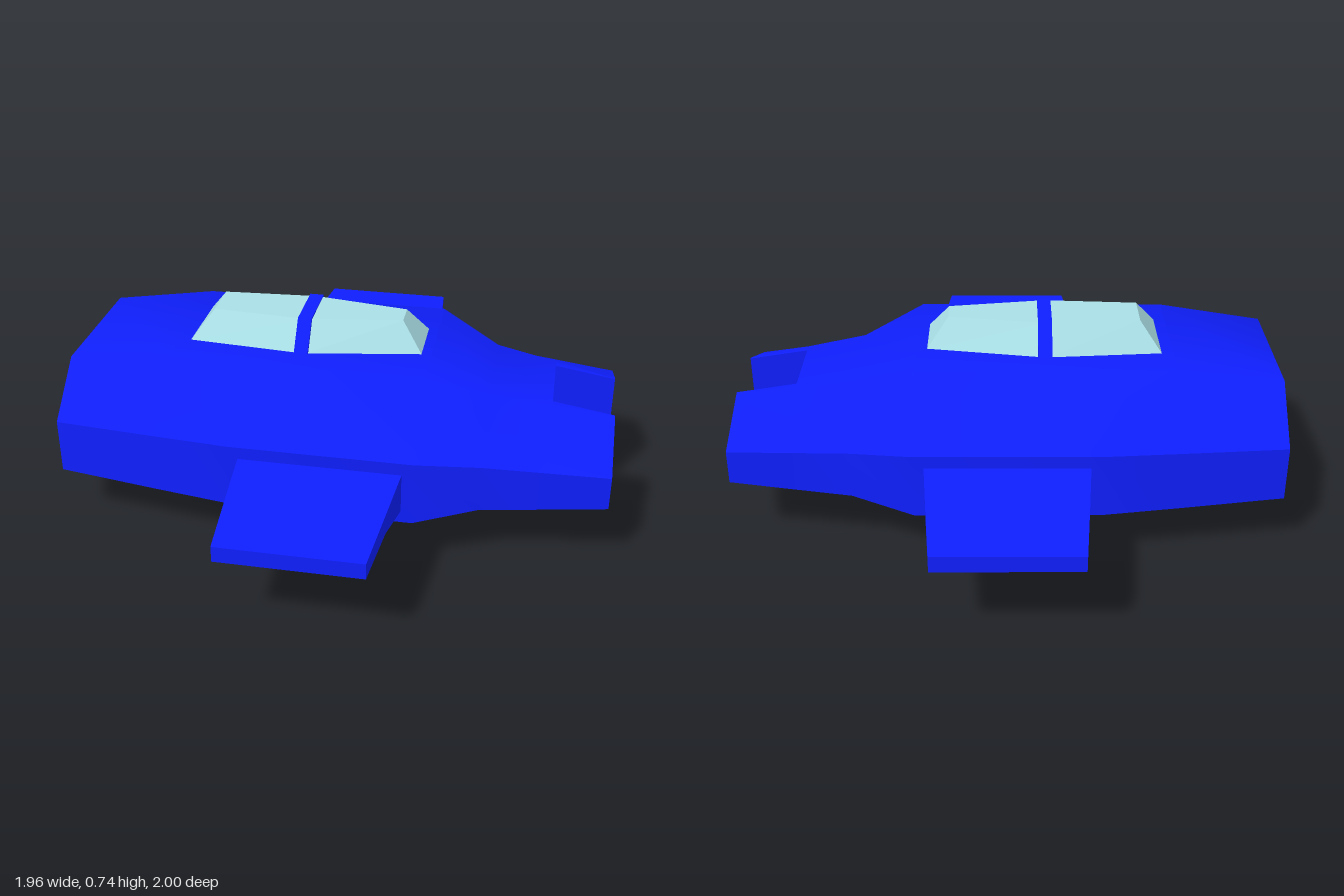
import * as THREE from 'three';
import { mergeGeometries, toCreasedNormals } from 'three/addons/utils/BufferGeometryUtils.js';

const blue = new THREE.MeshStandardMaterial({ color: 0x0f1fff });
const glass = new THREE.MeshStandardMaterial({ color: 0xa9dfe6 });

// Skin a row of rings; each ring runs counter-clockwise about the direction of travel.
function loft(rings, capStart = true, capEnd = true) {
  const n = rings[0].length, last = (rings.length - 1) * n, index = [];
  for (let r = 0; r < rings.length - 1; r++) {
    for (let i = 0; i < n; i++) {
      const a = r * n + i, b = r * n + (i + 1) % n;
      index.push(a, b, b + n, a, b + n, a + n);
    }
  }
  for (let i = 1; i < n - 1; i++) {
    if (capStart) index.push(0, i + 1, i);
    if (capEnd) index.push(last, last + i, last + i + 1);
  }
  const g = new THREE.BufferGeometry();
  g.setAttribute('position', new THREE.Float32BufferAttribute(rings.flat(2), 3));
  g.setIndex(index);
  return g;
}

function part(name, geometry, material, crease = 0.01) {
  const mesh = new THREE.Mesh(toCreasedNormals(geometry, crease), material);
  mesh.name = name;
  return mesh;
}

// Hull stations: x, top, bottom, side z, side upper y, side lower y, roof half width, keel half width
const stations = [
  [-0.98, 0.58, 0.05, 0.447, 0.41, 0.21, 0.26, 0.16],
  [-0.6, 0.63, 0.028, 0.497, 0.422, 0.201, 0.285, 0.17],
  [-0.33, 0.63, 0, 0.53, 0.43, 0.195, 0.29, 0.18],
  [0.32, 0.63, 0, 0.53, 0.43, 0.195, 0.29, 0.18],
  [0.54, 0.54, 0.09, 0.452, 0.397, 0.225, 0.2, 0.17],
  [0.76, 0.505, 0.125, 0.425, 0.384, 0.236, 0.172, 0.157],
  [0.98, 0.47, 0.16, 0.397, 0.37, 0.247, 0.145, 0.145],
];

function hullRing([x, top, bot, side, yU, yL, roof, keel], inset = 0) {
  const half = [
    [x, top - inset, roof - inset / 3], [x, yU - inset / 3, side - inset],
    [x, yL + inset / 3, side - inset], [x, bot + inset, keel - inset / 3],
  ];
  return [...half, ...mirrorZ(half)];
}

function mirrorZ(ring) {
  return ring.map(([x, y, z]) => [x, y, -z]).reverse();
}

// One tail prong beside the notch
function prongRing([x, top, bot, side, yU, yL, roof, keel]) {
  const gap = 0.137;
  return [[x, top, gap], [x, top, roof], [x, yU, side], [x, yL, side], [x, bot, keel], [x, bot, gap]];
}

function buildHull() {
  // From the back of the open bay, forward to its rim, then along the outside
  const inner = [3, 2, 1, 0].map((i) => hullRing(stations[i], 0.03));
  const outer = stations.slice(0, 6).map((s) => hullRing(s));
  const prong = stations.slice(5).map(prongRing);
  const pieces = [
    loft([...inner, ...outer]),
    loft(prong, false),
    loft(prong.map(mirrorZ), false),
  ];
  return part('hull', mergeGeometries(pieces), blue, THREE.MathUtils.degToRad(45));
}

// Wing stations: z, half chord, top, bottom
function buildWing() {
  const rings = [
    [0.5, 0.288, 0.387, 0.232],
    [0.75, 0.268, 0.371, 0.298],
    [1, 0.247, 0.355, 0.298],
  ].map(([z, c, top, bot]) => [[c, top, z], [-c, top, z], [-c, bot, z], [c, bot, z]]);
  return loft(rings);
}

// Ring at height y from [x, half width] pairs running front to tail
function deckRing(y, pairs) {
  const half = pairs.map(([x, w]) => [x, y, w]);
  return [...half, ...mirrorZ(half)];
}

export function createModel() {
  const model = new THREE.Group();
  model.name = 'spaceship';
  model.add(buildHull());

  // Wings
  for (const [name, turn] of [['frontWing', 0], ['backWing', Math.PI]]) {
    const wing = part(name, buildWing(), blue);
    wing.rotation.y = turn;
    wing.position.x = -0.005;
    model.add(wing);
  }

  // Canopy glass and the strut across it
  model.add(part('canopy', loft([
    deckRing(0.625, [[-0.562, 0.147], [-0.14, 0.18], [0.288, 0.108]]),
    deckRing(0.73, [[-0.482, 0.077], [-0.14, 0.1], [0.208, 0.047]]),
  ]), glass));
  model.add(part('canopyStrut', loft([
    deckRing(0.625, [[-0.165, 0.19], [-0.115, 0.19]]),
    deckRing(0.735, [[-0.165, 0.106], [-0.115, 0.106]]),
  ]), blue));

  return model;
}
